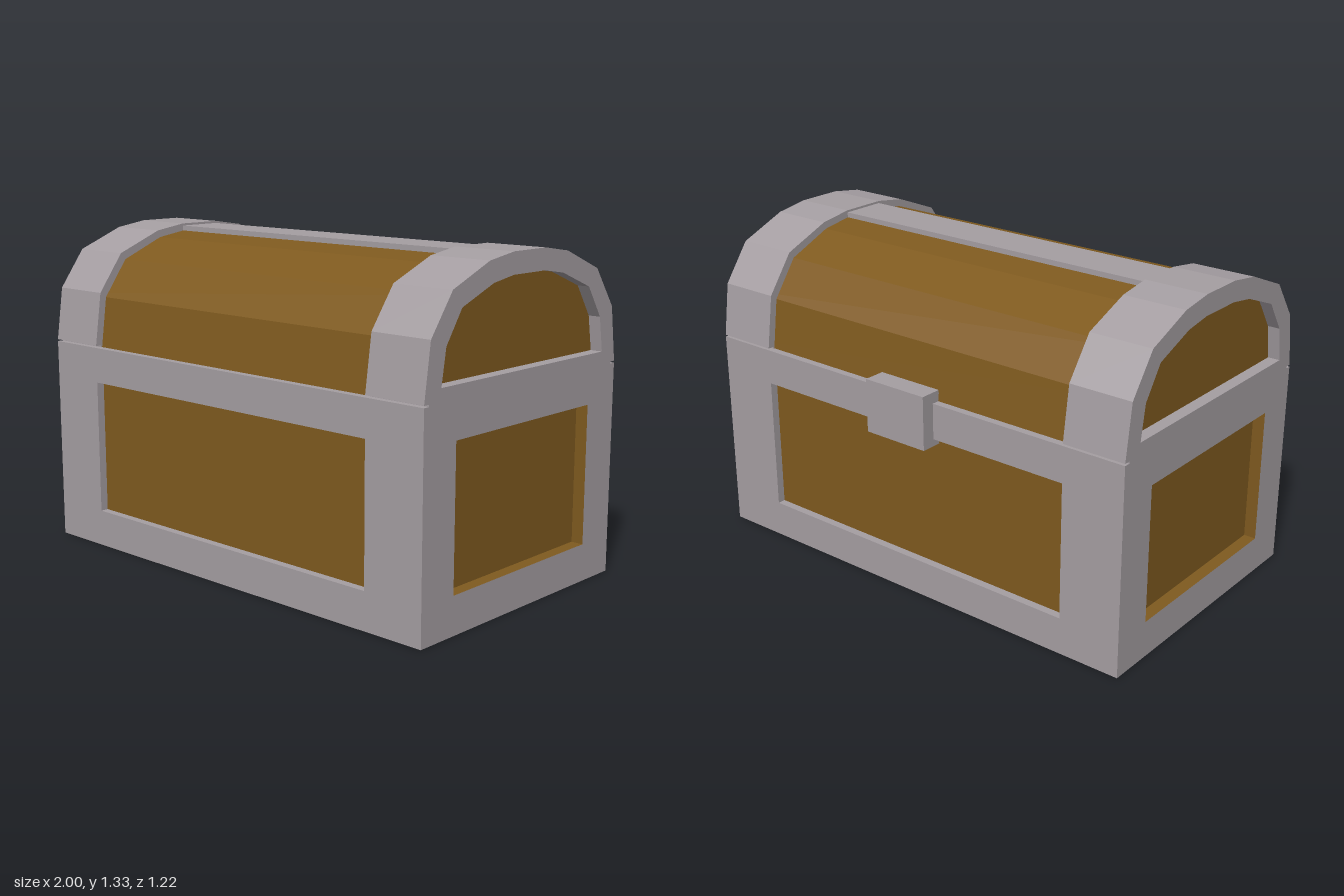
import * as THREE from 'three';

const ZC = 0.026, HALF = 0.581, TOP = 0.845; // body centre in z, half depth, body height
const metal = new THREE.MeshStandardMaterial({ color: 0xa59ea2, flatShading: true });
const wood = new THREE.MeshStandardMaterial({ color: 0x7f5a1f, flatShading: true });

// Symmetric outline from its right half, bottom to top
const mirrored = (half) => [...half, ...half.map(([x, y]) => [-x, y]).reverse()];
const rect = (hw, y0, y1) => mirrored([[hw, y0], [hw, y1]]);
const vectors = (pts) => pts.map(([x, y]) => new THREE.Vector2(x, y));

// Extrude an outline with an optional opening, centred on its depth
function slab(outline, hole, depth) {
  const shape = new THREE.Shape(vectors(outline));
  if (hole) shape.holes.push(new THREE.Path(vectors(hole)));
  return new THREE.ExtrudeGeometry(shape, { depth, bevelEnabled: false }).translate(0, 0, -depth / 2);
}

export function createModel() {
  const chest = new THREE.Group();
  chest.name = 'chest';

  function add(name, geometry, material, x, y, z) {
    const mesh = new THREE.Mesh(geometry, material);
    mesh.name = name;
    mesh.position.set(x, y, z);
    chest.add(mesh);
  }

  // Body: wooden core, bottom rim and framed walls with sunken panels
  const rim = 0.02, wall = 0.033, side = 0.05;
  add('bodyCore', new THREE.BoxGeometry(2 - 2 * side, TOP - 0.015, 2 * (HALF - wall)), wood, 0, (TOP + 0.005) / 2, ZC);
  add('bottomRim', slab(rect(1, -HALF, HALF), rect(0.955, 0.045 - HALF, HALF - 0.045), rim).rotateX(-Math.PI / 2),
    metal, 0, rim / 2, ZC);
  for (const s of [1, -1]) {
    add(s > 0 ? 'frontFrame' : 'backFrame', slab(rect(1, rim, TOP), rect(0.74, 0.15, 0.7), wall),
      metal, 0, 0, ZC + s * (HALF - wall / 2));
    // The side openings are lined with wood
    add(s > 0 ? 'leftFrame' : 'rightFrame', slab(rect(HALF - wall, rim, TOP), rect(0.405, 0.15, 0.705), side)
      .rotateY(-Math.PI / 2), [metal, wood], s * (1 - side / 2), 0, ZC);
  }

  // Lid: faceted wooden vault
  const vault = mirrored([[0.55, TOP], [0.522, 1.05], [0.415, 1.198], [0.225, 1.277], [0.095, 1.297]]);
  add('lidVault', slab(vault, null, 1.9).rotateY(-Math.PI / 2), wood, 0, 0, ZC);
  add('ridgeSlat', new THREE.BoxGeometry(1.5, 0.04, 0.19), metal, 0, 1.298, ZC);

  // Arched end bands with a small groove above the body
  const arch = mirrored([[0.555, TOP], [0.555, 0.853], [HALF, 0.853], [0.55, 1.07], [0.437, 1.225], [0.235, 1.306], [0.096, 1.327]]);
  const opening = mirrored([[0.491, 0.9], [0.468, 1.037], [0.385, 1.16], [0.21, 1.227], [0.094, 1.245]]);
  for (const s of [1, -1]) {
    add(s > 0 ? 'leftLidBand' : 'rightLidBand', slab(arch, opening, 0.26).rotateY(-Math.PI / 2), metal, s * 0.87, 0, ZC);
  }

  // Latch
  add('latch', new THREE.BoxGeometry(0.286, 0.218, 0.09), metal, 0, 0.78, -0.565);
  return chest;
}
